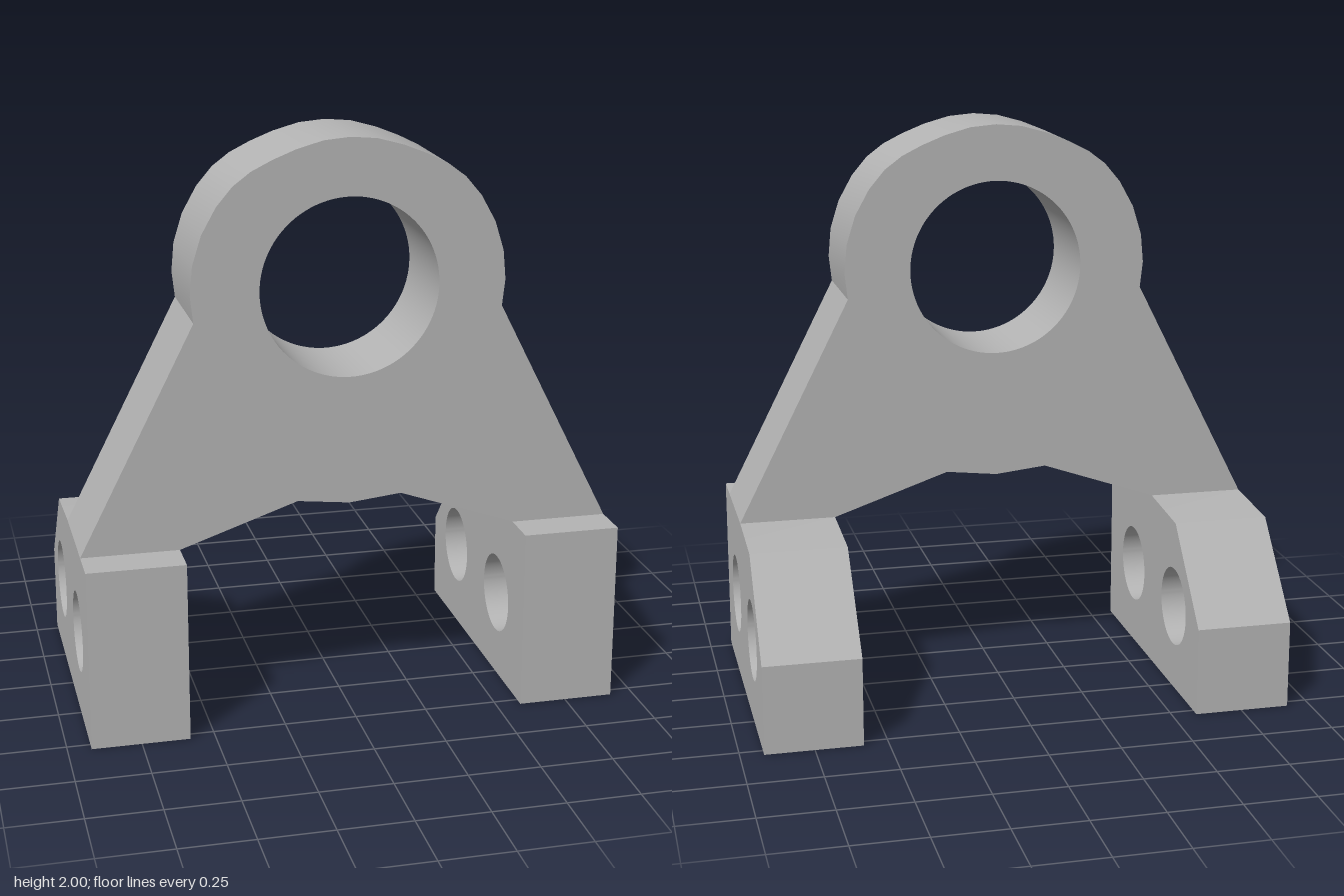
import * as THREE from 'three';
import { toCreasedNormals } from 'three/addons/utils/BufferGeometryUtils.js';

// Shape from corner points, with round holes given as [x, y, radius]
function plateShape(points, holes) {
  const shape = new THREE.Shape(points.map(([x, y]) => new THREE.Vector2(x, y)));
  for (const [x, y, r] of holes) {
    shape.holes.push(new THREE.Path().absarc(x, y, r, 0, Math.PI * 2, true));
  }
  return shape;
}

function extrude(shape, depth) {
  const geometry = new THREE.ExtrudeGeometry(shape, { depth, bevelEnabled: false, curveSegments: 48 });
  return toCreasedNormals(geometry, 0.45);
}

export function createModel() {
  const group = new THREE.Group();
  const metal = new THREE.MeshStandardMaterial({ color: 0xb4b4b4 });
  metal.name = 'grey metal';

  // Upright bracket: half outline from underside to crown, mirrored
  const half = [
    [0.18, 0.77], [0.585, 0.63], [0.92, 0.63], [0.525, 1.41],
    [0.535, 1.5], [0.526, 1.6], [0.495, 1.7], [0.445, 1.79], [0.39, 1.855],
    [0.33, 1.9], [0.26, 1.935], [0.18, 1.967], [0.09, 1.992],
  ];
  const mirrored = half.map(([x, y]) => [-x, y]).reverse();
  const outline = [[0, 0.75], ...half, [0, 2], ...mirrored];
  const bracket = new THREE.Mesh(extrude(plateShape(outline, [[0, 1.5, 0.305]]), 0.37), metal);
  bracket.name = 'bracket';
  bracket.position.z = 0.025;
  group.add(bracket);

  // Feet: side profile in (z, y) with two bolt holes, extruded across x
  const profile = [
    [-0.535, 0], [0.535, 0], [0.535, 0.63], [0.025, 0.63], [-0.26, 0.61], [-0.535, 0.31],
  ];
  const footGeometry = extrude(plateShape(profile, [[0.235, 0.3, 0.14], [-0.255, 0.3, 0.14]]), 0.335);
  footGeometry.rotateY(-Math.PI / 2);
  for (const [name, x] of [['leftFoot', 0.92], ['rightFoot', -0.585]]) {
    const foot = new THREE.Mesh(footGeometry, metal);
    foot.name = name;
    foot.position.x = x;
    group.add(foot);
  }
  return group;
}
